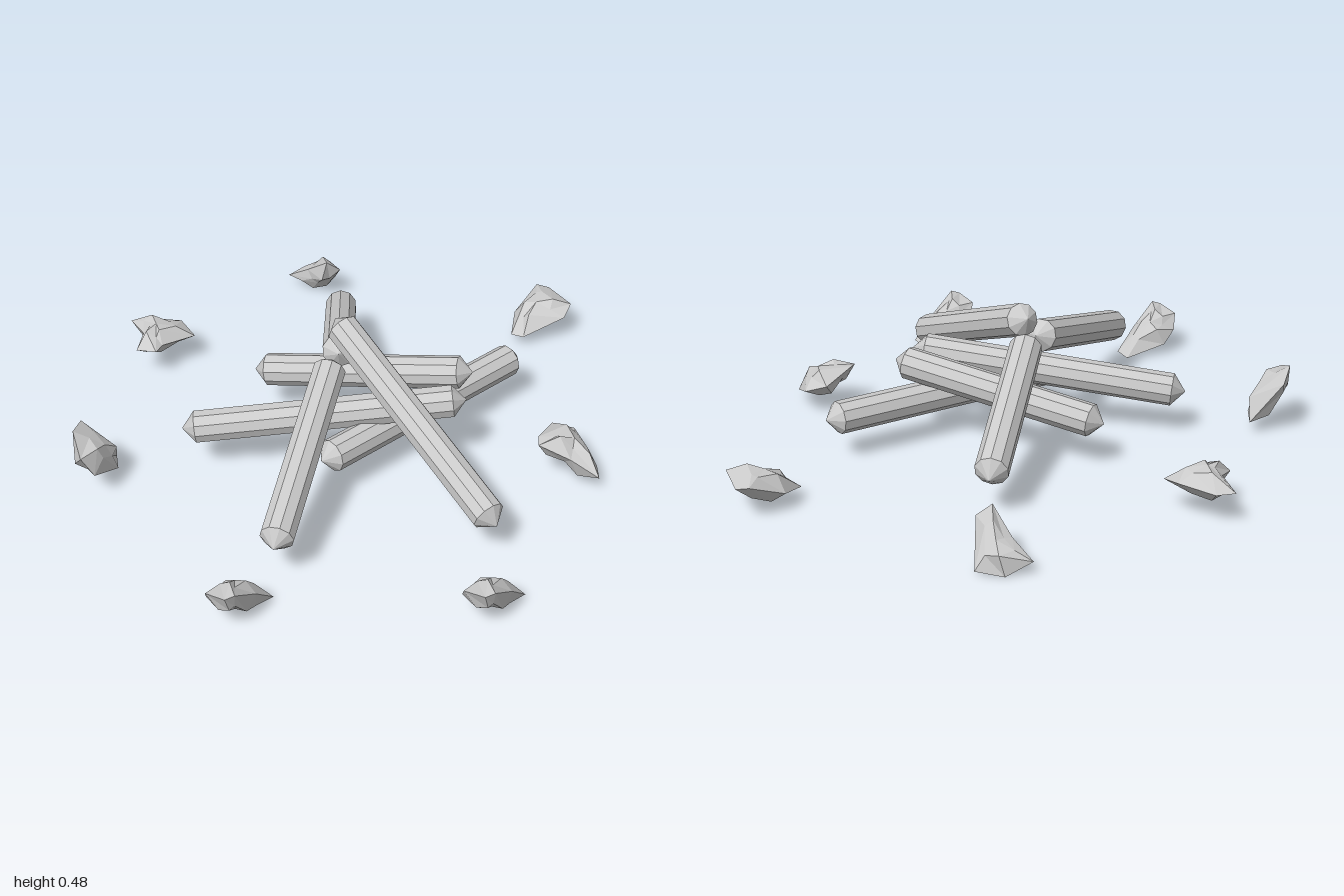
import * as THREE from 'three';

const material = new THREE.MeshStandardMaterial({ color: 0xcccccc, flatShading: true });

// A straight log between two tips, with a short cone at each end
function makeLog(name, from, to) {
  const a = new THREE.Vector3(...from), b = new THREE.Vector3(...to);
  const half = a.distanceTo(b) / 2, r = 0.055, cap = 0.045;
  const profile = [[0, -half], [r, cap - half], [r, half - cap], [0, half]].map(p => new THREE.Vector2(...p));
  const mesh = new THREE.Mesh(new THREE.LatheGeometry(profile, 10), material);
  mesh.name = name;
  mesh.position.copy(a).add(b).multiplyScalar(0.5);
  mesh.quaternion.setFromUnitVectors(new THREE.Vector3(0, 1, 0), b.sub(a).normalize());
  return mesh;
}

// A flat angular stone: an outline (clockwise from above) laid on a tilted plane,
// with smaller rings above and below it
function makeStone(name, outline, [y, slopeX, slopeZ], dx = 0) {
  const n = outline.length;
  const cx = outline.reduce((s, p) => s + p[0], 0) / n;
  const cz = outline.reduce((s, p) => s + p[1], 0) / n;
  const normal = new THREE.Vector3(-slopeX, 1, -slopeZ).normalize();
  const levels = [[0, -0.04], [0.55, -0.038], [1, 0], [0.5, 0.036], [0, 0.046]];
  const rings = levels.map(([scale, height], k) => outline.map(([px, pz], i) => {
    const x = (px - cx) * scale, z = (pz - cz) * scale;
    const bump = scale > 0 ? 0.01 * Math.sin(i * 2.4 + k * 1.7) : 0;
    return new THREE.Vector3(cx + x + dx, y + slopeX * x + slopeZ * z, cz + z)
      .addScaledVector(normal, height + bump);
  }));
  const points = [];
  for (let k = 0; k < rings.length - 1; k++) {
    for (let i = 0; i < n; i++) {
      const j = (i + 1) % n;
      const a = rings[k][i], b = rings[k][j], c = rings[k + 1][j], d = rings[k + 1][i];
      if (k < rings.length - 2) points.push(a, d, c);
      if (k > 0) points.push(a, c, b);
    }
  }
  const geometry = new THREE.BufferGeometry().setFromPoints(points);
  geometry.computeVertexNormals();
  const mesh = new THREE.Mesh(geometry, material);
  mesh.name = name;
  return mesh;
}

export function createModel() {
  const group = new THREE.Group();
  group.name = 'campfire';

  // Crossed logs near the ground and logs leaning on the pile
  const logs = [
    ['groundLog', [0.62, 0.19, -0.275], [-0.06, 0.19, 0.32]],
    ['frontCrossLog', [-0.515, 0.195, 0.14], [0.415, 0.3, 0.14]],
    ['backCrossLog', [-0.28, 0.2, -0.19], [0.445, 0.31, 0.0]],
    ['backLeaningLog', [0.02, 0.18, -0.635], [0.0, 0.4, 0.02]],
    ['frontRightLeaningLog', [-0.21, 0.19, 0.76], [-0.02, 0.4, 0.05]],
    ['frontLeftLeaningLog', [0.48, 0.175, 0.64], [-0.01, 0.495, -0.05]],
  ];
  for (const log of logs) group.add(makeLog(...log));

  // Ring of stones: outline in x and z, then height and slopes along x and z
  const frontOutline = [[-0.41, 0.9], [-0.38, 0.85], [-0.25, 0.79], [-0.21, 0.82],
    [-0.26, 0.9], [-0.32, 0.99], [-0.35, 0.99], [-0.41, 0.95]];
  const stones = [
    ['backStone', [[-0.17, -0.97], [-0.09, -1], [0, -0.99], [0.02, -0.87], [-0.03, -0.85],
      [-0.1, -0.92]], [0.12, -0.1, 1.1]],
    ['backLeftStone', [[0.63, -0.56], [0.65, -0.67], [0.74, -0.77], [0.78, -0.76], [0.85, -0.64],
      [0.82, -0.58], [0.67, -0.54]], [0.13, 0.25, -0.2]],
    ['backRightStone', [[-0.73, -0.56], [-0.67, -0.58], [-0.55, -0.54], [-0.5, -0.47], [-0.61, -0.39],
      [-0.63, -0.35], [-0.7, -0.38], [-0.68, -0.46]], [0.16, 0, 0]],
    ['rightStone', [[-0.84, 0.15], [-0.73, 0.15], [-0.73, 0.23], [-0.78, 0.34], [-0.83, 0.35],
      [-0.86, 0.25]], [0.18, -1.3, 0]],
    ['leftStone', [[0.65, 0.2], [0.71, 0.08], [0.78, 0.08], [0.85, 0.22], [0.84, 0.31],
      [0.75, 0.27], [0.65, 0.24]], [0.145, -0.5, 0]],
    ['frontRightStone', frontOutline, [0.13, 0, 0.8]],
    ['frontLeftStone', frontOutline, [0.13, 0, 0.8], 0.767],
  ];
  for (const stone of stones) group.add(makeStone(...stone));

  return group;
}
